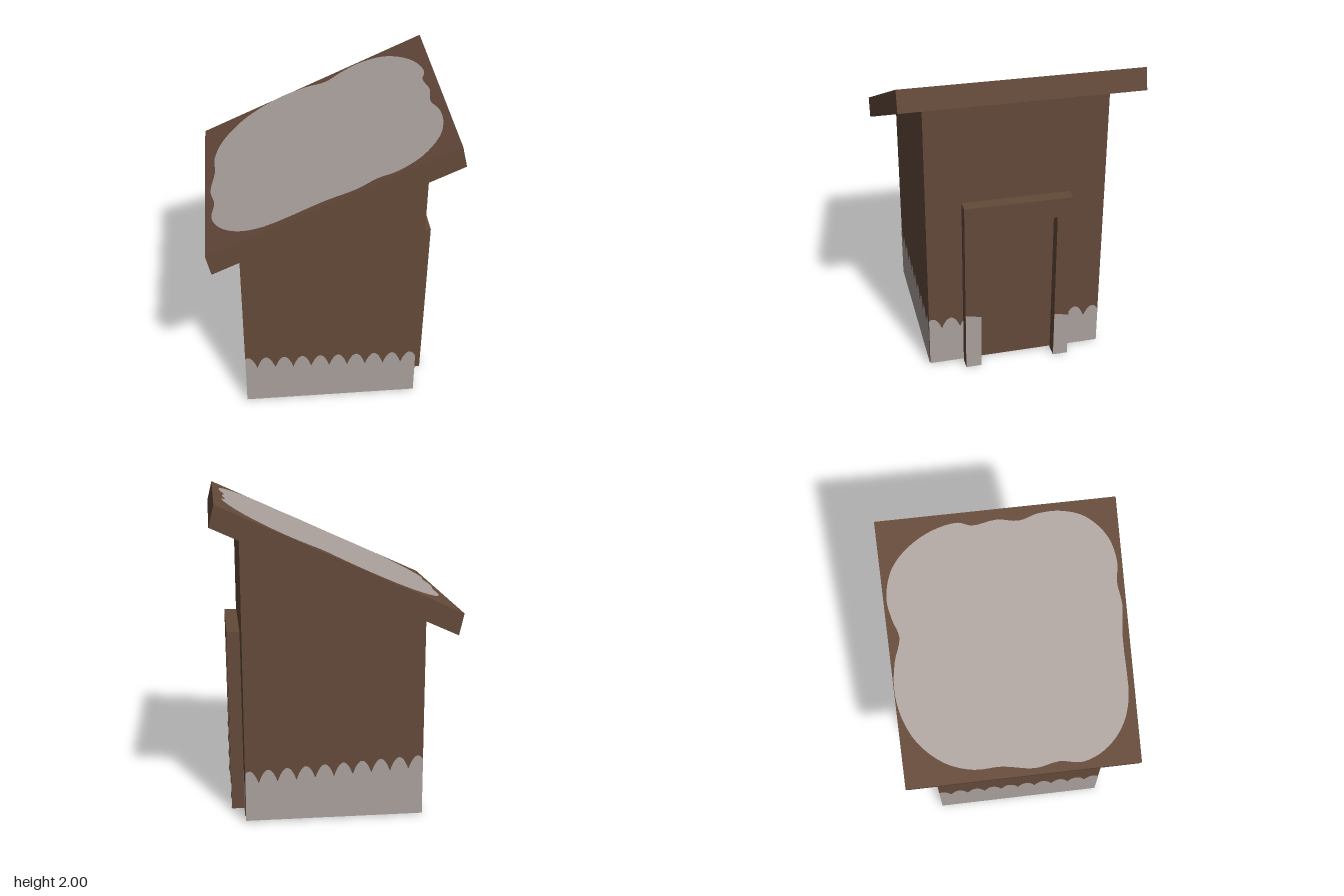
import * as THREE from 'three';

const wood = new THREE.MeshStandardMaterial({ color: 0x644a3a });
wood.name = 'brownWood';
const snow = new THREE.MeshStandardMaterial({ color: 0xaba19d });
snow.name = 'paleSnow';

const v2 = (list) => list.map(([x, y]) => new THREE.Vector2(x, y));

// Extrude an outline along z, centred on z = 0
function slab(points, depth) {
  const geo = new THREE.ExtrudeGeometry(new THREE.Shape(v2(points)), { depth, bevelEnabled: false });
  return geo.translate(0, 0, -depth / 2);
}

// Lean a geometry along x with height
function lean(geo, amount) {
  const p = geo.attributes.position;
  for (let i = 0; i < p.count; i++) p.setX(i, p.getX(i) + amount * p.getY(i));
  geo.computeVertexNormals();
  return geo;
}

// Flat band from u0 to u1 whose top runs from h0 to h1 with scallops of the given depth
function band(u0, u1, h0, h1, scallop, y0 = 0.01) {
  const pts = [[u1, y0]];
  const n = scallop ? Math.round((u1 - u0) / 0.006) : 1;
  for (let i = n; i >= 0; i--) {
    const t = i / n, u = u0 + (u1 - u0) * t;
    const wave = Math.pow(Math.abs(Math.sin(Math.PI * (u + 0.478) / 0.1175)), 0.75);
    pts.push([u, h0 + (h1 - h0) * t - scallop * (1 - wave)]);
  }
  pts.push([u0, y0]);
  return new THREE.ShapeGeometry(new THREE.Shape(v2(pts).reverse()));
}

export function createModel() {
  const model = new THREE.Group();
  model.name = 'snowyShed';
  const add = (name, geo, mat) => {
    const mesh = new THREE.Mesh(geo, mat);
    mesh.name = name;
    model.add(mesh);
    return mesh;
  };

  // Walls with a slanted top
  add('walls', slab([[-0.555, 0.01], [0.56, 0.01], [0.57, 1.795], [-0.555, 1.285]], 1.12), wood);

  // Overhanging lean-to roof
  add('roof', slab([[-0.72, 1.205], [0.745, 1.87], [0.713, 2], [-0.75, 1.338]], 1.44), wood);

  // Door frame on the +x wall, open at the bottom
  const frame = slab([
    [-0.34, 0], [-0.24, 0], [-0.24, 1.04], [0.24, 1.04],
    [0.24, 0], [0.335, 0], [0.335, 1.17], [-0.34, 1.17],
  ], 0.08).rotateY(Math.PI / 2).translate(0.601, 0, 0);
  add('doorFrame', lean(frame, 0.0085), wood);

  // Snow drifted against the walls
  const turn = Math.PI / 2;
  add('frontSnow', band(-0.555, 0.56, 0.38, 0.35, 0.095).translate(0, 0, 0.563), snow);
  add('backSnow', band(-0.56, 0.555, 0.335, 0.4, 0.09).translate(0, 0, 0.563).rotateY(2 * turn), snow);
  add('rightSideSnow', band(-0.56, 0.56, 0.4, 0.385, 0.09).translate(0, 0, 0.558).rotateY(-turn), snow);
  for (const [name, u0, u1, h0, h1] of [
    ['doorWallSnowA', -0.56, -0.34, 0.35, 0.345],
    ['doorWallSnowB', 0.335, 0.56, 0.305, 0.29],
  ]) {
    const geo = band(u0, u1, h0, h1, 0.08).translate(0, 0, 0.563).rotateY(turn);
    add(name, lean(geo, 0.0056), snow);
  }

  // Snow on the outer faces of the door jambs
  for (const [name, u0, u1, h0, h1] of [
    ['jambSnowA', -0.34, -0.24, 0.4, 0.38],
    ['jambSnowB', 0.24, 0.335, 0.325, 0.303],
  ]) {
    const geo = band(u0, u1, h0, h1, 0, 0).translate(0, 0, 0.644).rotateY(turn);
    add(name, lean(geo, 0.0085), snow);
  }

  // Irregular snow patch lying on the roof slope, outlined in x and z
  const outline = [
    [-0.2, -0.717], [-0.05, -0.695], [0.08, -0.65], [0.18, -0.682], [0.3, -0.7], [0.45, -0.65],
    [0.56, -0.535], [0.635, -0.38], [0.66, -0.23], [0.637, -0.15], [0.655, 0], [0.637, 0.13],
    [0.665, 0.25], [0.665, 0.39], [0.62, 0.53], [0.5, 0.65], [0.36, 0.69], [0.25, 0.677],
    [0.13, 0.695], [-0.05, 0.678], [-0.4, 0.675], [-0.55, 0.615], [-0.66, 0.5], [-0.71, 0.36],
    [-0.692, 0.22], [-0.715, 0.07], [-0.685, -0.13], [-0.685, -0.3], [-0.63, -0.47],
    [-0.5, -0.62], [-0.35, -0.695],
  ].map(([x, z]) => new THREE.Vector3(x, -z, 0));
  const curve = new THREE.CatmullRomCurve3(outline, true);
  const patch = new THREE.ShapeGeometry(new THREE.Shape(curve.getPoints(124).slice(0, -1).map((p) => new THREE.Vector2(p.x, p.y))));
  patch.rotateX(-Math.PI / 2);
  const p = patch.attributes.position;
  const slope = (2 - 1.338) / (0.713 + 0.75);
  for (let i = 0; i < p.count; i++) p.setY(i, 1.342 + (p.getX(i) + 0.75) * slope);
  patch.computeVertexNormals();
  add('roofSnow', patch, snow);

  return model;
}
